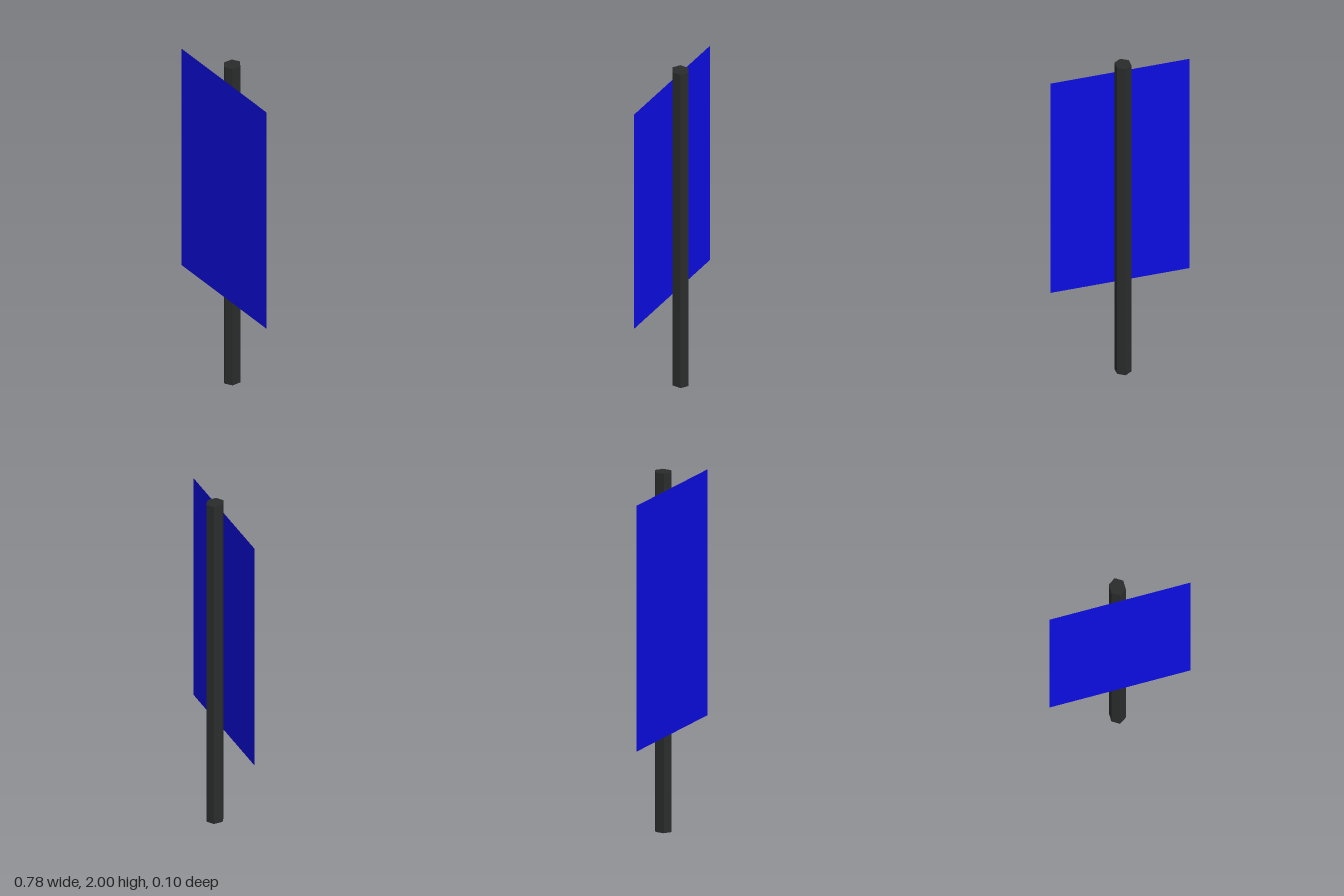
import * as THREE from 'three';

export function createModel() {
  const group = new THREE.Group();

  // Six-sided pole, a little narrower across than deep
  const pole = new THREE.Mesh(
    new THREE.CylinderGeometry(0.051, 0.051, 2, 6),
    new THREE.MeshStandardMaterial({ color: 0x2a2c2c, flatShading: true })
  );
  pole.name = 'pole';
  pole.scale.x = 0.91;
  pole.position.set(0, 1, -0.001);
  group.add(pole);

  // Thin flat panel on the front edge of the pole
  const panel = new THREE.Mesh(
    new THREE.PlaneGeometry(0.778, 1.368),
    new THREE.MeshStandardMaterial({ color: 0x0c0ce0, side: THREE.DoubleSide })
  );
  panel.name = 'signPanel';
  panel.position.set(0, 1.233, 0.052);
  group.add(panel);

  return group;
}
